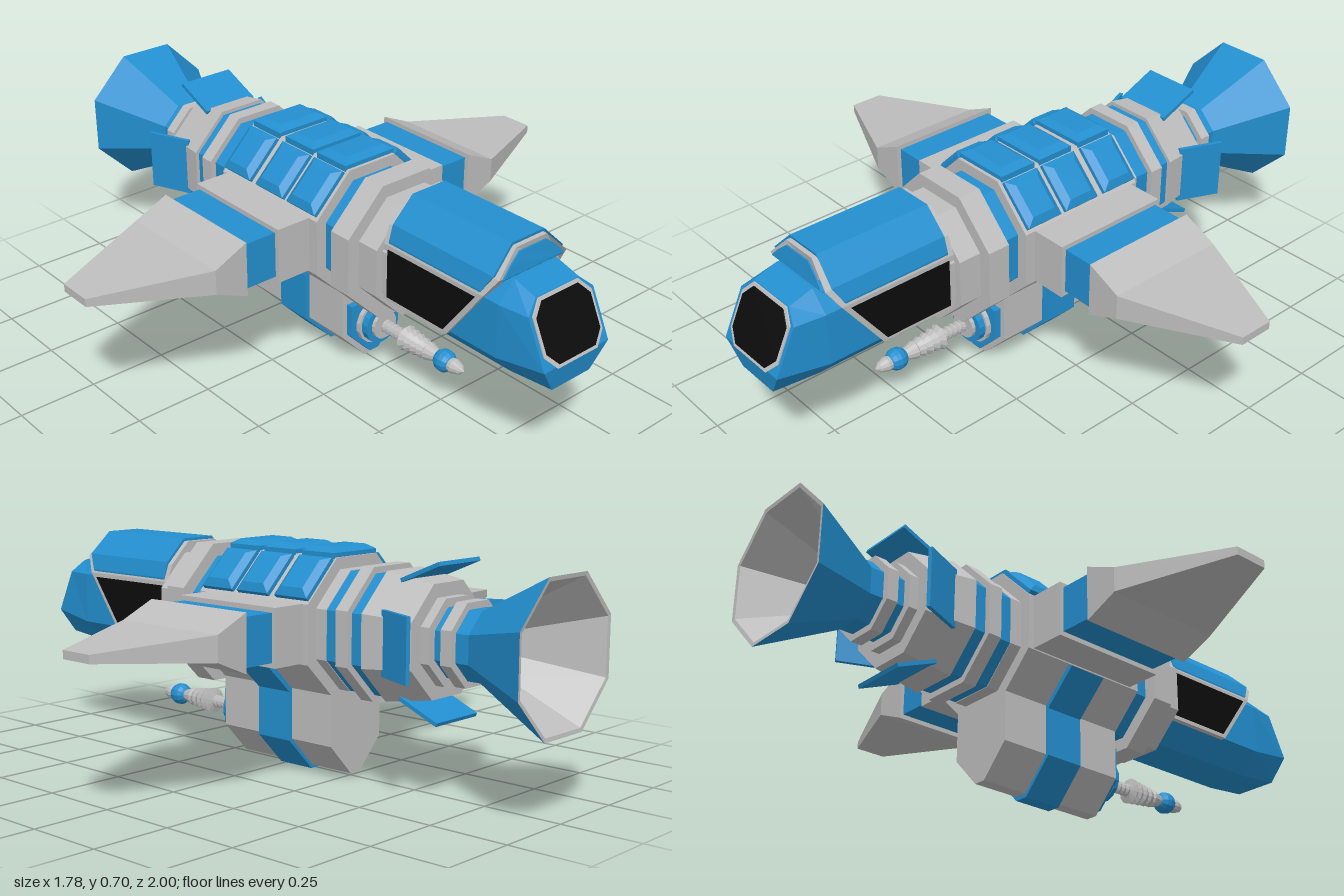
import * as THREE from 'three';

const mat = (name, color) => Object.assign(new THREE.MeshStandardMaterial({ color }), { name });

export function createModel() {
  const grey = mat('hull grey', 0xbebebe);
  const blue = mat('panel blue', 0x238fcf);
  const black = mat('window black', 0x0c0c0c);
  const model = new THREE.Group();
  model.name = 'spaceship';
  const CY = 0.46; // height of the hull axis
  const K = 1 / Math.cos(Math.PI / 8);

  const add = (name, geo, material, parent = model) => {
    const g = geo.index ? geo.toNonIndexed() : geo;
    g.computeVertexNormals();
    const mesh = new THREE.Mesh(g, material);
    mesh.name = name;
    parent.add(mesh);
    return mesh;
  };

  // Closed solid through matching loops of [x, y, z], turned outward by its signed volume
  const loft = (loops) => {
    const n = loops[0].length, last = (loops.length - 1) * n, idx = [];
    for (let s = 0; s < loops.length - 1; s++) {
      for (let i = 0; i < n; i++) {
        const a = s * n + i, b = s * n + (i + 1) % n;
        idx.push(a, b, b + n, a, b + n, a + n);
      }
    }
    for (let i = 1; i < n - 1; i++) {
      const p = (1 + i) % n, q = (2 + i) % n;
      idx.push(1, q, p, last + 1, last + p, last + q);
    }
    const v = loops.flat().map((p) => new THREE.Vector3(...p));
    let volume = 0;
    for (let i = 0; i < idx.length; i += 3) {
      volume += v[idx[i]].dot(v[idx[i + 1]].clone().cross(v[idx[i + 2]]));
    }
    if (volume < 0) idx.reverse();
    const g = new THREE.BufferGeometry().setFromPoints(v);
    g.setIndex(idx);
    return g;
  };

  // Mirror a half outline (bottom to top) into a full loop
  const mirror = (half) => [...half, ...half.slice().reverse().map(([x, ...r]) => [-x, ...r])];
  const atZ = (pts, z) => pts.map(([x, y]) => [x, y, z]);
  const extrude = (pts, z0, z1) => new THREE.ExtrudeGeometry(
    new THREE.Shape(pts.map(([x, y]) => new THREE.Vector2(x, y))),
    { depth: z1 - z0, bevelEnabled: false }).translate(0, 0, z0);

  // Turned part along z from [radius, z] points
  const turned = (pts, sides, y) => new THREE.LatheGeometry(
    pts.map(([r, z]) => new THREE.Vector2(r, z)), sides)
    .rotateY(Math.PI / sides).rotateX(Math.PI / 2).translate(0, y, 0);

  // Octagonal hull segments: name, material, front z, back z, front and back half width
  const segments = [
    ['cockpitCollar', grey, 0.415, 0.39, 0.158, 0.158],
    ['frontCollar', grey, 0.40, 0.32, 0.18, 0.18],
    ['frontRing', grey, 0.325, 0.25, 0.22, 0.22],
    ['frontBand', blue, 0.25, 0.175, 0.18, 0.18],
    ['mainHull', grey, 0.18, -0.27, 0.215, 0.215],
    ['rearCollar', grey, -0.27, -0.31, 0.18, 0.18],
    ['rearBand', blue, -0.31, -0.36, 0.178, 0.178],
    ['rearRing', grey, -0.36, -0.405, 0.197, 0.197],
    ['tailBand', blue, -0.405, -0.45, 0.178, 0.178],
    ['tail', grey, -0.45, -0.61, 0.19, 0.165],
    ['tailCap', grey, -0.61, -0.64, 0.125, 0.125],
    ['engineNeck', blue, -0.64, -0.76, 0.1, 0.1],
    ['engineRing', grey, -0.675, -0.712, 0.12, 0.12],
  ];
  for (const [name, m, z0, z1, a, b] of segments) {
    const g = new THREE.CylinderGeometry(a * K, b * K, z0 - z1, 8)
      .rotateY(Math.PI / 8).rotateX(Math.PI / 2).translate(0, CY, (z0 + z1) / 2);
    add(name, g, m);
  }

  // Engine bell
  add('engineBell', turned([[0.22 * K, -1], [0.1 * K, -0.755]], 8, CY), blue);
  add('engineBellInside', turned([[0, -0.775], [0.085 * K, -0.775], [0.208 * K, -0.998], [0.22 * K, -1]], 8, CY), grey);

  // Four tail flaps, flared towards the back
  for (let i = 0; i < 4; i++) {
    const g = new THREE.BoxGeometry(0.19, 0.012, 0.145).rotateX(0.4)
      .translate(0, 0.198, -0.58).rotateZ(i * Math.PI / 2).translate(0, CY, 0);
    add('tailFlap', g, blue);
  }

  // Bevelled roof tiles, three rows on three upper faces
  for (const side of [-1, 0, 1]) {
    for (const z of [0.105, -0.043, -0.2]) {
      const rect = (w, d, y) => [[-w, y, -d], [w, y, -d], [w, y, d], [-w, y, d]];
      const w = side ? 0.077 : 0.095;
      const g = loft([rect(w, 0.064, 0.2), rect(w, 0.064, 0.228), rect(w - 0.024, 0.042, 0.243)])
        .rotateZ(-side * Math.PI / 4).translate(0, CY, z);
      add('roofTile', g, blue);
    }
  }

  // Nose with a sloping front face
  const faceZ = (y) => 0.993 - (y - 0.4) * 0.486;
  const noseBody = mirror([[0.075, 0.305], [0.14, 0.375], [0.14, 0.54], [0.085, 0.6]]);
  const noseTip = mirror([[0.075, 0.32, 0.98], [0.128, 0.4, faceZ(0.4)],
    [0.128, 0.54, faceZ(0.54)], [0.085, 0.577, faceZ(0.577)]]);
  add('nose', loft([atZ(noseBody, 0.4), atZ(noseBody, 0.83), noseTip]), blue);

  // Nose window and its frame
  const pane = (w, y0, y1, c, lift) => {
    const p = mirror([[w - c, y0], [w, y0 + c], [w, y1 - c], [w - c, y1]]);
    return loft([-0.002, lift].map((d) => p.map(([x, y]) => [x, y, faceZ(y) + d])));
  };
  add('noseWindowFrame', pane(0.116, 0.398, 0.574, 0.037, 0.004), grey);
  add('noseWindow', pane(0.106, 0.408, 0.566, 0.034, 0.007), black);

  // Canopy: grey frame, blue roof and front panel, black side windows
  const frame = mirror([[0.153, 0.37, 0.655], [0.153, 0.55, 0.785], [0.132, 0.605, 0.82], [0.06, 0.675, 0.808]]);
  add('canopyFrame', loft([atZ(frame, 0.4), frame]), grey);
  const roof = mirror([[0.15, 0.548, 0.765], [0.151, 0.562, 0.775], [0.137, 0.612, 0.803], [0.063, 0.684, 0.795]]);
  add('canopyRoof', loft([atZ(roof, 0.418), roof]), blue);
  const front = mirror([[0.12, 0.598, 0.815], [0.119, 0.604, 0.82], [0.09, 0.634, 0.816], [0.053, 0.664, 0.811]]);
  add('canopyFront', loft([front, front.map(([x, y, z]) => [x, y, z + 0.005])]), blue);
  for (const s of [-1, 1]) {
    const glass = [[0.383, 0.645], [0.537, 0.757], [0.537, 0.418], [0.383, 0.418]];
    add('sideWindow', loft([0.15, 0.156].map((x) => glass.map(([y, z]) => [s * x, y, z]))), black);
  }

  // Wings: root block, blue joint and tapered blade; x, y range, z range
  const slab = ([x, y0, y1, z0, z1]) => [[x, y0, z0], [x, y0, z1], [x, y1, z1], [x, y1, z0]];
  for (const s of [-1, 1]) {
    const wing = new THREE.Group();
    wing.name = s > 0 ? 'leftWing' : 'rightWing';
    model.add(wing);
    const piece = (name, m, rows) => add(name, loft(rows.map(([x, ...r]) => slab([s * x, ...r]))), m, wing);
    piece('wingRoot', grey, [[0.18, 0.375, 0.55, -0.25, 0.145], [0.33, 0.375, 0.55, -0.25, 0.145]]);
    piece('wingJoint', blue, [[0.32, 0.39, 0.535, -0.237, 0.13], [0.45, 0.39, 0.535, -0.237, 0.13]]);
    piece('wingBlade', grey, [[0.445, 0.375, 0.55, -0.25, 0.145],
      [0.555, 0.422, 0.5, -0.25, 0.145], [0.89, 0.447, 0.472, -0.112, -0.002]]);
  }

  // Belly pod with a blue band wrapped around it
  const pod = mirror([[0.02, 0.012], [0.112, 0.11], [0.112, 0.3]]);
  add('bellyPod', extrude(pod, -0.27, 0.178), grey);
  const band = mirror([[0.022, 0], [0.122, 0.105], [0.122, 0.257], [0.228, 0.36], [0.2, 0.375]]);
  add('bellyBand', extrude(band, -0.11, 0.02), blue);
  const plate = mirror([[0.018, 0.035], [0.094, 0.115], [0.094, 0.222]]);
  add('podFrontPlate', extrude(plate, 0.17, 0.2), blue);

  // Gun: stepped mount, ribbed barrel, ball and tip
  const GY = 0.145;
  const disc = (name, m, r, z0, z1) =>
    add(name, turned([[0, z0], [r, z0], [r, z1], [0, z1]], 16, GY), m);
  disc('gunMount', grey, 0.075, 0.19, 0.215);
  disc('gunMountRing', blue, 0.066, 0.21, 0.238);
  disc('gunCollar', grey, 0.046, 0.23, 0.25);
  const ribs = [[0, 0.24]];
  for (let i = 0; i < 5; i++) {
    const z = 0.25 + i * 0.018;
    ribs.push([0.012, z], [0.021, z + 0.005], [0.021, z + 0.011], [0.012, z + 0.016]);
  }
  for (let i = 0; i < 5; i++) {
    const z = 0.342 + i * 0.024, r = 0.042 - i * 0.003;
    ribs.push([0.024, z], [r, z + 0.005], [0.025, z + 0.022]);
  }
  ribs.push([0.02, 0.475], [0.012, 0.5], [0, 0.5]);
  add('gunBarrel', turned(ribs, 12, GY), grey);
  add('gunBall', new THREE.SphereGeometry(0.036, 12, 8).rotateX(Math.PI / 2).translate(0, GY, 0.51), blue);
  add('gunTip', turned([[0, 0.53], [0.022, 0.535], [0.024, 0.55], [0.016, 0.575], [0, 0.59]], 12, GY), grey);

  return model;
}
